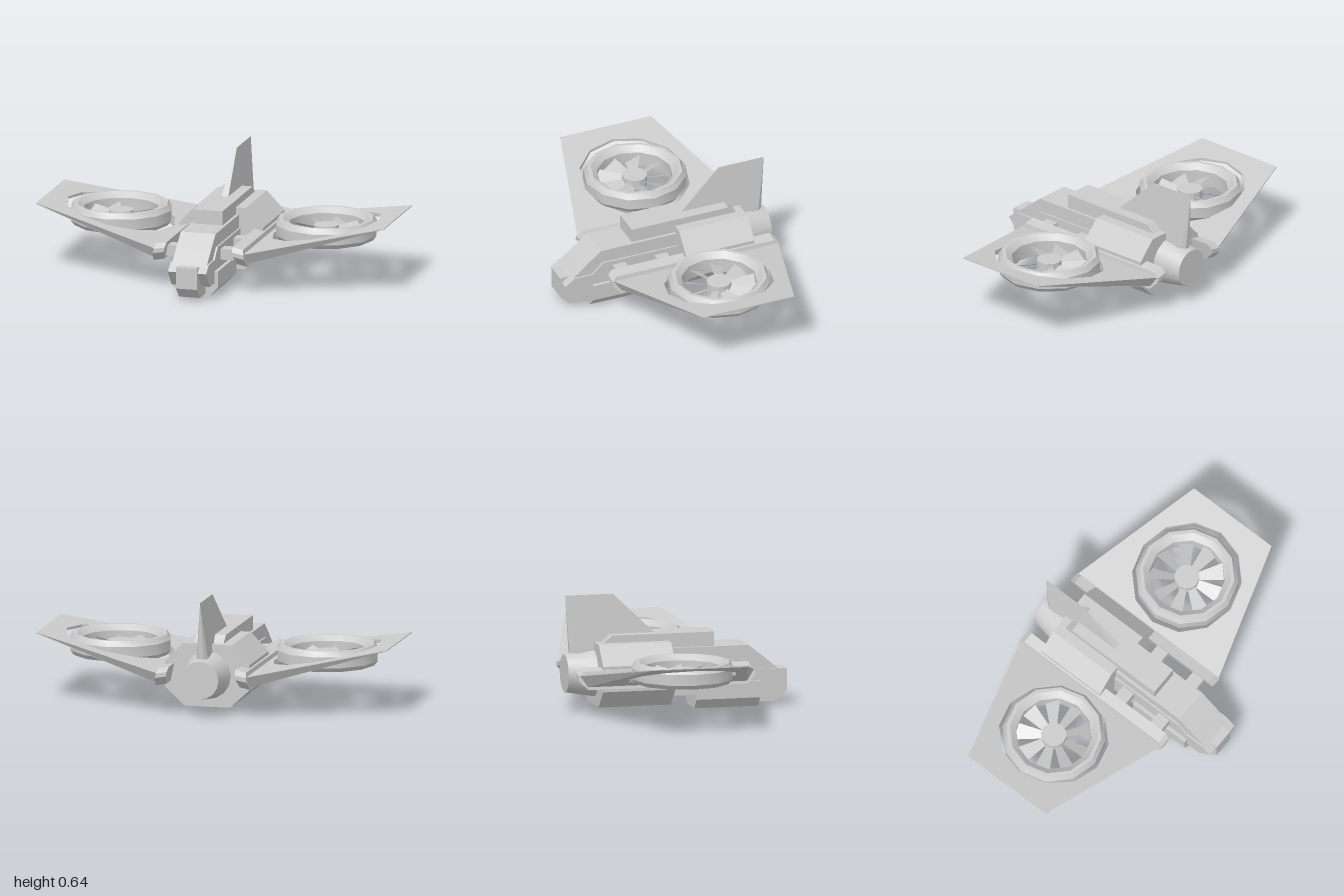
import * as THREE from 'three';
import { toCreasedNormals } from 'three/addons/utils/BufferGeometryUtils.js';
import { ConvexGeometry } from 'three/addons/geometries/ConvexGeometry.js';

const flat = new THREE.MeshStandardMaterial({ color: 0xcccccc, flatShading: true });
const smooth = new THREE.MeshStandardMaterial({ color: 0xcccccc });
const thin = new THREE.MeshStandardMaterial({ color: 0xcccccc, flatShading: true, side: THREE.DoubleSide });

const shapeOf = (pts) => new THREE.Shape(pts.map(([a, b]) => new THREE.Vector2(a, b)));

function add(parent, name, geometry, material = flat) {
  const mesh = new THREE.Mesh(geometry, material);
  mesh.name = name;
  parent.add(mesh);
  return mesh;
}

// Side profile of [z, y] points, extruded across x and centred on x = 0
function sideProfile(pts, width) {
  const g = new THREE.ExtrudeGeometry(shapeOf(pts), { depth: width, bevelEnabled: false });
  return g.translate(0, 0, -width / 2).rotateY(-Math.PI / 2);
}

// Front profile: right half given as [x, y], mirrored and extruded from z0 to z1
function frontProfile(half, z0, z1) {
  const pts = [...half, ...half.map(([x, y]) => [-x, y]).reverse()];
  const g = new THREE.ExtrudeGeometry(shapeOf(pts), { depth: z1 - z0, bevelEnabled: false });
  return g.translate(0, 0, z0);
}

// Move every vertex by a rule
function warp(g, rule) {
  const p = g.attributes.position;
  const v = new THREE.Vector3();
  for (let i = 0; i < p.count; i++) {
    v.fromBufferAttribute(p, i);
    rule(v);
    p.setXYZ(i, v.x, v.y, v.z);
  }
  g.computeVertexNormals();
  return g;
}

const FAN_X = 0.59, FAN_Z = -0.1;

// Tapered wing plate with a round opening for the fan
function wingGeometry(s) {
  const shape = shapeOf([[0.25, -0.39], [1, -0.17], [1, 0.375], [0.25, 0.6]].map(([x, y]) => [s * x, y]));
  const hole = [];
  for (let i = 0; i < 12; i++) {
    const a = (i * Math.PI) / 6;
    hole.push(new THREE.Vector2(s * FAN_X + 0.305 * Math.cos(a), -FAN_Z + 0.305 * Math.sin(a)));
  }
  shape.holes.push(new THREE.Path(hole));
  const g = new THREE.ExtrudeGeometry(shape, { depth: 1, bevelEnabled: false }).rotateX(-Math.PI / 2);
  return warp(g, (v) => {
    const u = (Math.abs(v.x) - 0.25) / 0.75;
    const top = v.y > 0.5;
    // Underside is inset at the root corners
    if (!top && u < 0.01) v.z -= Math.sign(v.z) * 0.04;
    v.y = top ? 0.235 + 0.15 * u : 0.17 + 0.21 * u;
  });
}

function buildFan(s) {
  const fan = new THREE.Group();
  fan.name = 'fan';
  fan.position.set(s * FAN_X, 0, FAN_Z);
  const ring = [[0.265, 0.24], [0.285, 0.265], [0.285, 0.325], [0.265, 0.355], [0.245, 0.355],
    [0.21, 0.325], [0.21, 0.24], [0.265, 0.24]].map(([r, y]) => new THREE.Vector2(r, y));
  add(fan, 'fanRing', toCreasedNormals(new THREE.LatheGeometry(ring, 12), 0.56), smooth);
  add(fan, 'fanHub', new THREE.CylinderGeometry(0.07, 0.07, 0.06, 12)).position.y = 0.285;
  // Pitched blades, widening outward
  for (let i = 0; i < 9; i++) {
    const blade = shapeOf([[0.05, -0.02], [0.212, -0.048], [0.212, 0.048], [0.05, 0.02]]);
    const g = new THREE.ShapeGeometry(blade).rotateX(-Math.PI / 2 + s * 0.5);
    const mesh = add(fan, 'fanBlade', g, thin);
    mesh.position.y = 0.285;
    mesh.rotation.y = (i * Math.PI * 2) / 9;
  }
  return fan;
}

function buildSide(s) {
  const side = new THREE.Group();
  side.name = s > 0 ? 'leftWing' : 'rightWing';
  add(side, 'wingPlate', wingGeometry(s));
  side.add(buildFan(s));

  // Root rail with chamfered ends, sloped along with the wing
  const rail = sideProfile([[0.37, 0.265], [-0.575, 0.265], [-0.605, 0.24], [-0.605, 0.215],
    [-0.555, 0.165], [0.35, 0.165], [0.395, 0.215], [0.395, 0.24]], 0.06);
  rail.translate(s * 0.23, 0, 0);
  add(side, 'wingRail', warp(rail, (v) => {
    v.y -= 0.2 * (Math.abs(v.x) - 0.23);
    // Lean the flanks so they stand square to the wing
    v.x += s * (0.215 - v.y) * 0.2;
  }));

  // Struts joining rail and hull
  for (const z of [0.045, 0.295]) {
    add(side, 'strut', new THREE.BoxGeometry(0.14, 0.06, 0.075)).position.set(s * 0.15, 0.215, z);
  }
  return side;
}

export function createModel() {
  const model = new THREE.Group();
  model.name = 'fanCraft';

  // Hull and nose
  add(model, 'hull', sideProfile([[0.61, 0.17], [0.54, 0.08], [-0.46, 0.08], [-0.46, 0.345],
    [0.395, 0.345], [0.49, 0.27]], 0.2));
  add(model, 'cheekPlates', sideProfile([[0.56, 0.21], [0.615, 0.17], [0.54, 0.08], [-0.06, 0.08],
    [-0.06, 0.27], [0.39, 0.27], [0.45, 0.21]], 0.22));
  add(model, 'nose', sideProfile([[0.625, 0.2], [0.625, 0.08], [0.565, 0.02], [0.42, 0.02], [0.42, 0.2]], 0.12));

  // Belly pod and eight-sided rear body
  add(model, 'bellyPod', frontProfile([[0.08, 0], [0.13, 0.055], [0.13, 0.147]], 0.093, 0.455));
  add(model, 'rearBody', frontProfile([[0.13, 0.035], [0.24, 0.138], [0.24, 0.28], [0.14, 0.385]], -0.463, -0.053));

  // Raised spine on top
  add(model, 'spine', sideProfile([[0.205, 0.33], [0.205, 0.425], [-0.375, 0.425], [-0.42, 0.385], [-0.42, 0.33]], 0.165));

  // Tapered engine at the back
  const engine = new THREE.CylinderGeometry(0.135, 0.106, 0.165, 16).rotateX(Math.PI / 2);
  add(model, 'engine', toCreasedNormals(engine, 0.6), smooth).position.set(0, 0.212, -0.5425);

  // Wedge-shaped tail fin, sharp along its upper edge
  const fin = [[0, 0.645, -0.35], [0, 0.645, -0.62]];
  for (const s of [-1, 1]) {
    fin.push([s * 0.02, 0.425, -0.12], [s * 0.02, 0.325, -0.12],
      [s * 0.032, 0.325, -0.575], [s * 0.015, 0.325, -0.598]);
  }
  add(model, 'tailFin', new ConvexGeometry(fin.map((p) => new THREE.Vector3(...p))));

  model.add(buildSide(1), buildSide(-1));
  return model;
}
